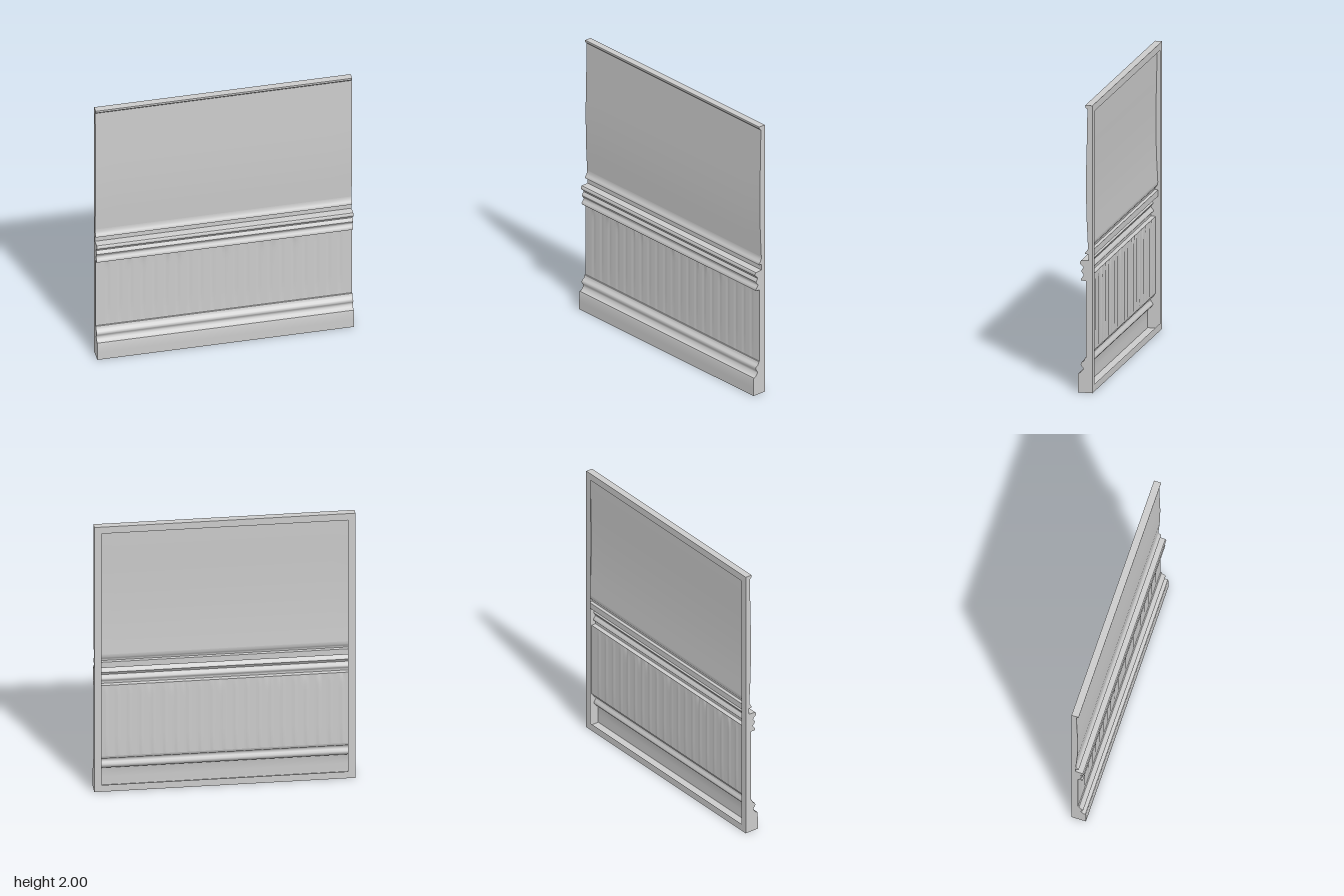
import * as THREE from 'three';
import { toCreasedNormals } from 'three/addons/utils/BufferGeometryUtils.js';

const HALF = 0.885, BACK = -0.05, RIM = 0.05, TOP = 2;

// Section of each horizontal part as [z, y] pairs, bottom to top
const sections = {
  baseboard: [[0.052, 0], [0.052, 0.06], [0.051, 0.12], [0.047, 0.133], [0.034, 0.138], [0.025, 0.148],
    [0.016, 0.16], [0.016, 0.172], [0.027, 0.185], [0.032, 0.197], [0.027, 0.21], [0.012, 0.219], [0.006, 0.23], [0.003, 0.241], [-0.004, 0.243]],
  beadboard: [[-0.004, 0.243], [-0.004, 0.26], [-0.004, 0.4], [-0.004, 0.55], [-0.004, 0.66], [-0.004, 0.7],
    [-0.004, 0.73], [-0.004, 0.755], [-0.004, 0.778]],
  chairRail: [[-0.004, 0.778], [0.028, 0.779], [0.03, 0.79], [0.021, 0.802], [0.011, 0.814], [0.012, 0.822],
    [0.022, 0.833], [0.028, 0.845], [0.022, 0.857], [0.013, 0.868], [0.016, 0.878], [0.03, 0.888], [0.037, 0.898],
    [0.037, 0.908], [0.03, 0.918], [-0.022, 0.921]],
  railCap: [[-0.022, 0.921], [-0.022, 0.964], [0, 0.966], [0, 0.975], [-0.008, 0.985], [-0.018, 1.0], [-0.019, 1.02]],
  upperWall: [[-0.019, 1.02], [-0.015, 1.1], [-0.01, 1.2], [-0.007, 1.32], [-0.006, 1.45], [-0.007, 1.58],
    [-0.01, 1.7], [-0.013, 1.85], [-0.015, 1.972]],
  topBead: [[-0.015, 1.972], [-0.01, 1.978], [-0.002, 1.984], [0, 1.992], [0, 2]],
};

// Shallow board seams, plus worn hollows just below the chair rail
const hollows = [-0.8, -0.65, -0.55, -0.38, -0.3, 0.02, 0.27, 0.35, 0.5];
function boardRelief(x, y) {
  const edge = Math.min(1, (HALF - Math.abs(x)) / 0.04);
  const fade = Math.min(1, (y - 0.243) / 0.02, (0.778 - y) / 0.04);
  const seam = Math.pow(Math.abs(Math.cos(Math.PI * x / 0.08)), 10);
  let z = -0.003 * seam * fade;
  hollows.forEach((h, i) => {
    const spread = (x - h) / (0.012 + 0.004 * (i % 3));
    z += 0.008 * Math.exp(-spread * spread) * Math.max(0, (y - 0.67) / 0.108) ** 2;
  });
  return z * edge;
}

// Sweeps a section across the width as a sheet
function sweep(points, columns, relief) {
  const pos = [], index = [], row = columns + 1;
  for (const [z, y] of points) {
    for (let i = 0; i <= columns; i++) {
      const x = -HALF + 2 * HALF * i / columns;
      pos.push(x, y, z + (relief ? relief(x, y) : 0));
    }
  }
  for (let j = 0; j < points.length - 1; j++) {
    for (let i = 0; i < columns; i++) {
      const a = j * row + i, b = a + row;
      index.push(a, a + 1, b + 1, a, b + 1, b);
    }
  }
  const geo = new THREE.BufferGeometry();
  geo.setAttribute('position', new THREE.Float32BufferAttribute(pos, 3));
  geo.setIndex(index);
  return toCreasedNormals(geo, 0.9);
}

export function createModel() {
  const group = new THREE.Group();
  const material = new THREE.MeshStandardMaterial({ color: 0xcccccc, side: THREE.DoubleSide });
  const add = (name, geo) => {
    const mesh = new THREE.Mesh(geo, material);
    mesh.name = name;
    group.add(mesh);
    return mesh;
  };

  // Front sheet: mouldings, boards and wall
  for (const [name, points] of Object.entries(sections)) {
    const boards = name === 'beadboard';
    add(name, sweep(points, boards ? 264 : 12, boards ? boardRelief : null));
  }

  // End walls follow the whole front section
  const outline = Object.values(sections).flatMap((s, i) => (i ? s.slice(1) : s));
  const side = new THREE.Shape();
  side.moveTo(-BACK, 0);
  outline.forEach(([z, y]) => side.lineTo(-z, y));
  side.lineTo(-BACK, TOP);
  for (const s of [1, -1]) {
    const geo = new THREE.ShapeGeometry(side);
    geo.rotateY(Math.PI / 2);
    geo.translate(s * HALF, 0, 0);
    if (s < 0) {
      const idx = geo.index.array;
      for (let i = 0; i < idx.length; i += 3) [idx[i], idx[i + 1]] = [idx[i + 1], idx[i]];
      geo.computeVertexNormals();
    }
    add(s > 0 ? 'leftEnd' : 'rightEnd', geo);
  }

  // Top and bottom strips close the shell
  const strip = (name, y, front, turn) => {
    const geo = new THREE.PlaneGeometry(2 * HALF, front - BACK);
    geo.rotateX(turn);
    geo.translate(0, y, (front + BACK) / 2);
    add(name, geo);
  };
  strip('topEdge', TOP, 0, -Math.PI / 2);
  strip('bottomEdge', 0, 0.052, Math.PI / 2);

  // Flat rim around the open back
  const rim = new THREE.Shape();
  const rect = (path, w, y0, y1) => path.moveTo(-w, y0).lineTo(w, y0).lineTo(w, y1).lineTo(-w, y1).closePath();
  rect(rim, HALF, 0, TOP);
  const opening = new THREE.Path();
  rect(opening, HALF - RIM, RIM, TOP - RIM);
  rim.holes.push(opening);
  const rimGeo = new THREE.ShapeGeometry(rim);
  rimGeo.rotateY(Math.PI);
  rimGeo.translate(0, 0, BACK);
  add('backRim', rimGeo);

  return group;
}
